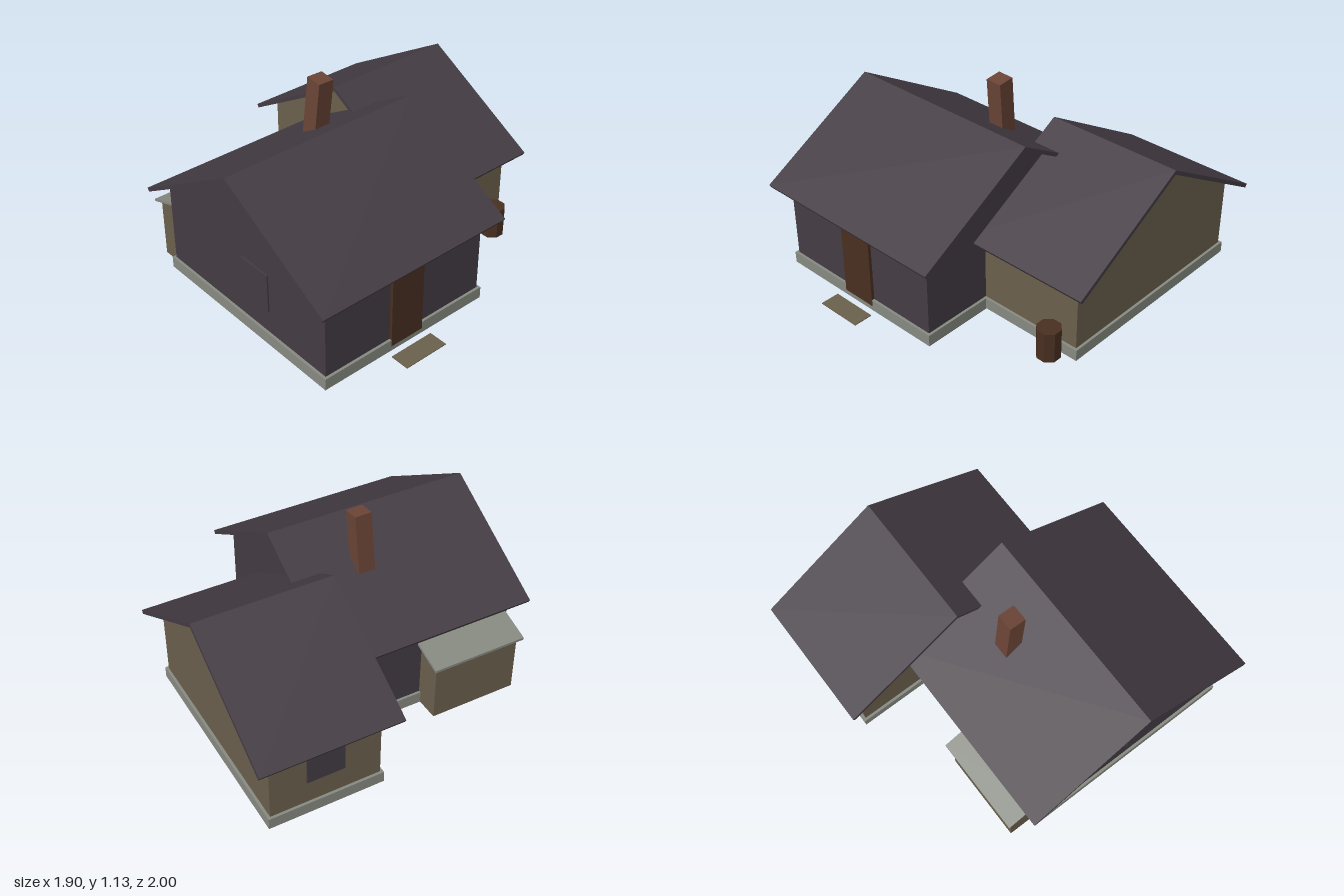
import * as THREE from 'three';

const mat = (name, color) => {
  const m = new THREE.MeshStandardMaterial({ color });
  m.name = name;
  return m;
};

export function createModel() {
  const house = new THREE.Group();
  house.name = 'house';

  const slate = mat('slate', 0x443d44);
  const tan = mat('tan', 0x6b604d);
  const stone = mat('stone', 0x878a81);
  const wood = mat('darkWood', 0x492f21);
  const brick = mat('brick', 0x6b4536);

  const add = (name, geometry, material) => {
    const mesh = new THREE.Mesh(geometry, material);
    mesh.name = name;
    house.add(mesh);
    return mesh;
  };

  // Box given by its minimum and maximum on each axis
  const box = (name, material, [x0, x1], [y0, y1], [z0, z1]) => {
    const mesh = add(name, new THREE.BoxGeometry(x1 - x0, y1 - y0, z1 - z0), material);
    mesh.position.set((x0 + x1) / 2, (y0 + y1) / 2, (z0 + z1) / 2);
    return mesh;
  };

  // Prism along x from a [z, y] outline
  const prism = (name, material, [x0, x1], outline) => {
    const shape = new THREE.Shape(outline.map(([z, y]) => new THREE.Vector2(-z, y)));
    const geometry = new THREE.ExtrudeGeometry(shape, { depth: x1 - x0, bevelEnabled: false });
    geometry.rotateY(Math.PI / 2).translate(x0, 0, 0);
    return add(name, geometry, material);
  };

  // One gabled block: plinth, walls and a thin overhanging roof
  const slope = Math.tan(Math.PI / 6);
  const gabled = (name, wallMat, { x, ridgeZ, ridgeY, wallHalf, roofHalf, overX, wallBase, plinthBase }) => {
    const top = ridgeY - 0.015, eave = top - slope * wallHalf;
    box(name + 'Foundation', stone, [x[0] - 0.016, x[1] + 0.016], [plinthBase, 0.07],
      [ridgeZ - wallHalf - 0.016, ridgeZ + wallHalf + 0.016]);
    prism(name + 'Walls', wallMat, x, [
      [ridgeZ - wallHalf, wallBase], [ridgeZ + wallHalf, wallBase],
      [ridgeZ + wallHalf, eave], [ridgeZ, top], [ridgeZ - wallHalf, eave]]);
    const low = ridgeY - slope * roofHalf, t = 0.012;
    prism(name + 'Roof', slate, [x[0] - overX, x[1] + overX], [
      [ridgeZ, ridgeY], [ridgeZ - roofHalf, low], [ridgeZ - roofHalf + t, low - 0.02],
      [ridgeZ, ridgeY - 0.026], [ridgeZ + roofHalf - t, low - 0.02], [ridgeZ + roofHalf, low]]);
  };

  gabled('main', slate, { x: [-0.868, 0.215], ridgeZ: 0.175, ridgeY: 0.965, wallHalf: 0.655,
    roofHalf: 0.745, overX: 0.086, wallBase: 0.003, plinthBase: 0 });
  gabled('wing', tan, { x: [0.215, 0.862], ridgeZ: -0.256, ridgeY: 0.9, wallHalf: 0.65,
    roofHalf: 0.74, overX: 0.089, wallBase: 0, plinthBase: 0.003 });

  // Lean-to at the back with its sloping slab
  prism('leanToWalls', tan, [-0.835, -0.3], [
    [-0.635, 0], [-0.47, 0], [-0.47, 0.42], [-0.635, 0.365]]);
  prism('leanToRoof', stone, [-0.86, -0.275], [
    [-0.665, 0.37], [-0.665, 0.355], [-0.47, 0.42], [-0.47, 0.436]]);

  // Door and step mat
  box('door', wood, [-0.435, -0.217], [0.03, 0.46], [0.825, 0.848]);
  box('doormat', tan, [-0.468, -0.188], [0, 0.005], [0.885, 1]);

  // Windows on the back of the wing and the outer gable
  box('wingWindow', slate, [0.43, 0.65], [0.21, 0.445], [-0.913, -0.905]);
  box('gableWindow', slate, [-0.877, -0.867], [0.21, 0.445], [0.165, 0.385]);

  // Crooked chimney
  const chimney = add('chimney', new THREE.BoxGeometry(0.1, 0.5, 0.1), brick);
  chimney.position.set(-0.128, 0.87, -0.104);
  chimney.rotation.set(0.1, 0, -0.03);

  // Eight-sided barrel beside the wing
  const barrelGeometry = new THREE.CylinderGeometry(0.07, 0.07, 0.185, 8).toNonIndexed();
  barrelGeometry.computeVertexNormals();
  const barrel = add('barrel', barrelGeometry, wood);
  barrel.position.set(0.735, 0.0925, 0.465);
  barrel.rotation.y = Math.PI / 8;

  return house;
}
